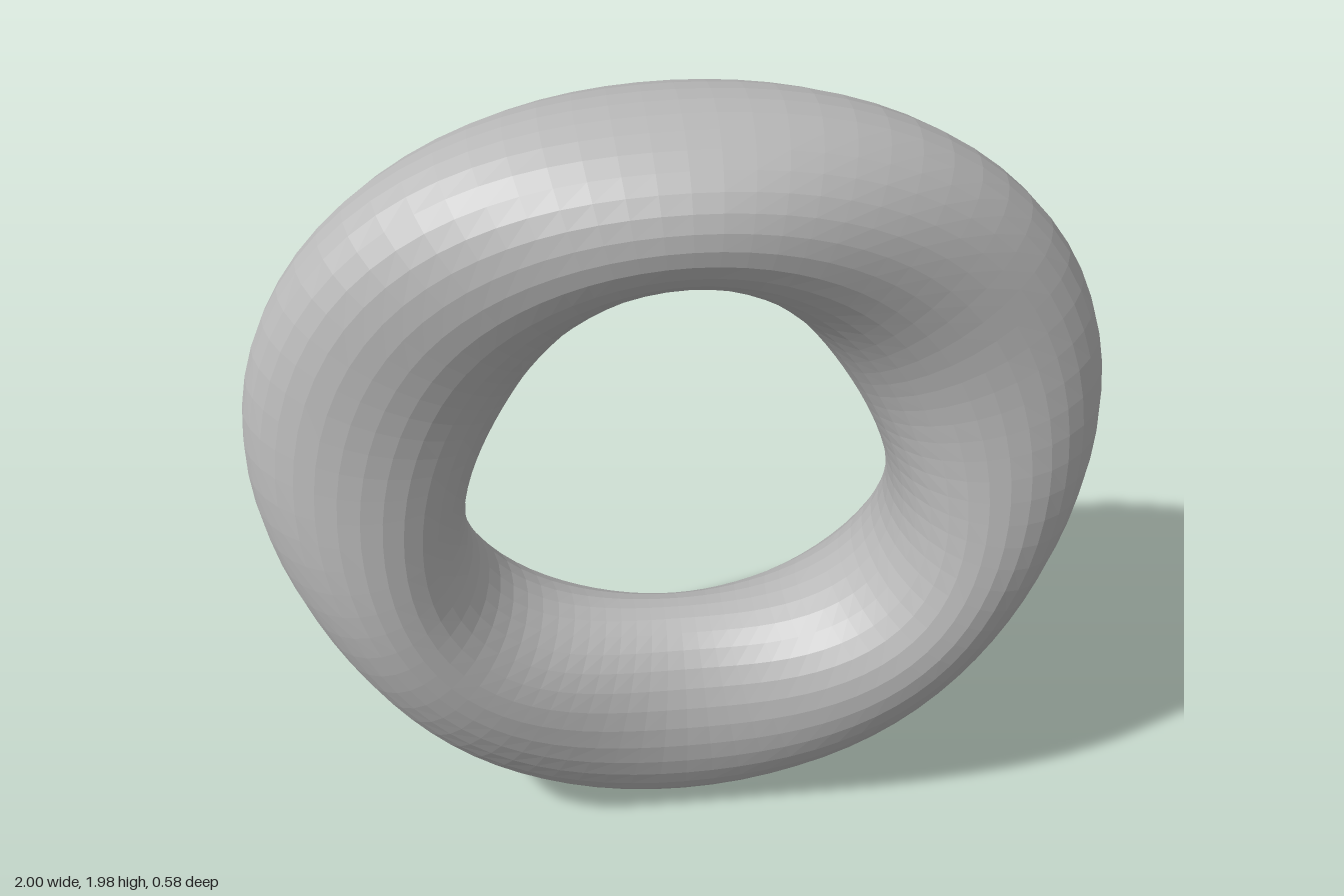
import * as THREE from 'three';

const RING_RADIUS = 0.744;
const CENTRE_Y = 1.0395;
const LONG = 0.29;   // half axes of the section at its widest and narrowest
const SHORT = 0.2;
const RINGS = 80;
const SIDES = 32;

// Closed ring whose section swaps between deep and wide three times on its way round
function lobedRing() {
  const mean = (LONG ** 2 + SHORT ** 2) / 2;
  const swing = (LONG ** 2 - SHORT ** 2) / 2;
  const positions = [];
  const index = [];
  for (let i = 0; i < RINGS; i++) {
    const theta = (i / RINGS) * Math.PI * 2;
    const wave = swing * Math.sin(3 * theta);
    const width = Math.sqrt(mean + wave);
    const depth = Math.sqrt(mean - wave);
    for (let j = 0; j < SIDES; j++) {
      const v = (j / SIDES) * Math.PI * 2;
      const r = RING_RADIUS + width * Math.cos(v);
      positions.push(r * Math.cos(theta), r * Math.sin(theta), depth * Math.sin(v));

      const i2 = (i + 1) % RINGS;
      const j2 = (j + 1) % SIDES;
      const a = i * SIDES + j, b = i2 * SIDES + j;
      const c = i2 * SIDES + j2, d = i * SIDES + j2;
      index.push(a, b, c, a, c, d);
    }
  }
  const geometry = new THREE.BufferGeometry();
  geometry.setAttribute('position', new THREE.Float32BufferAttribute(positions, 3));
  geometry.setIndex(index);
  geometry.computeVertexNormals();
  return geometry;
}

export function createModel() {
  const grey = new THREE.MeshStandardMaterial({ color: 0xb8b8b8, flatShading: true });
  grey.name = 'grey';

  const ring = new THREE.Mesh(lobedRing(), grey);
  ring.name = 'lobedRing';
  ring.position.y = CENTRE_Y;

  const model = new THREE.Group();
  model.name = 'lobedRingModel';
  model.add(ring);
  return model;
}
